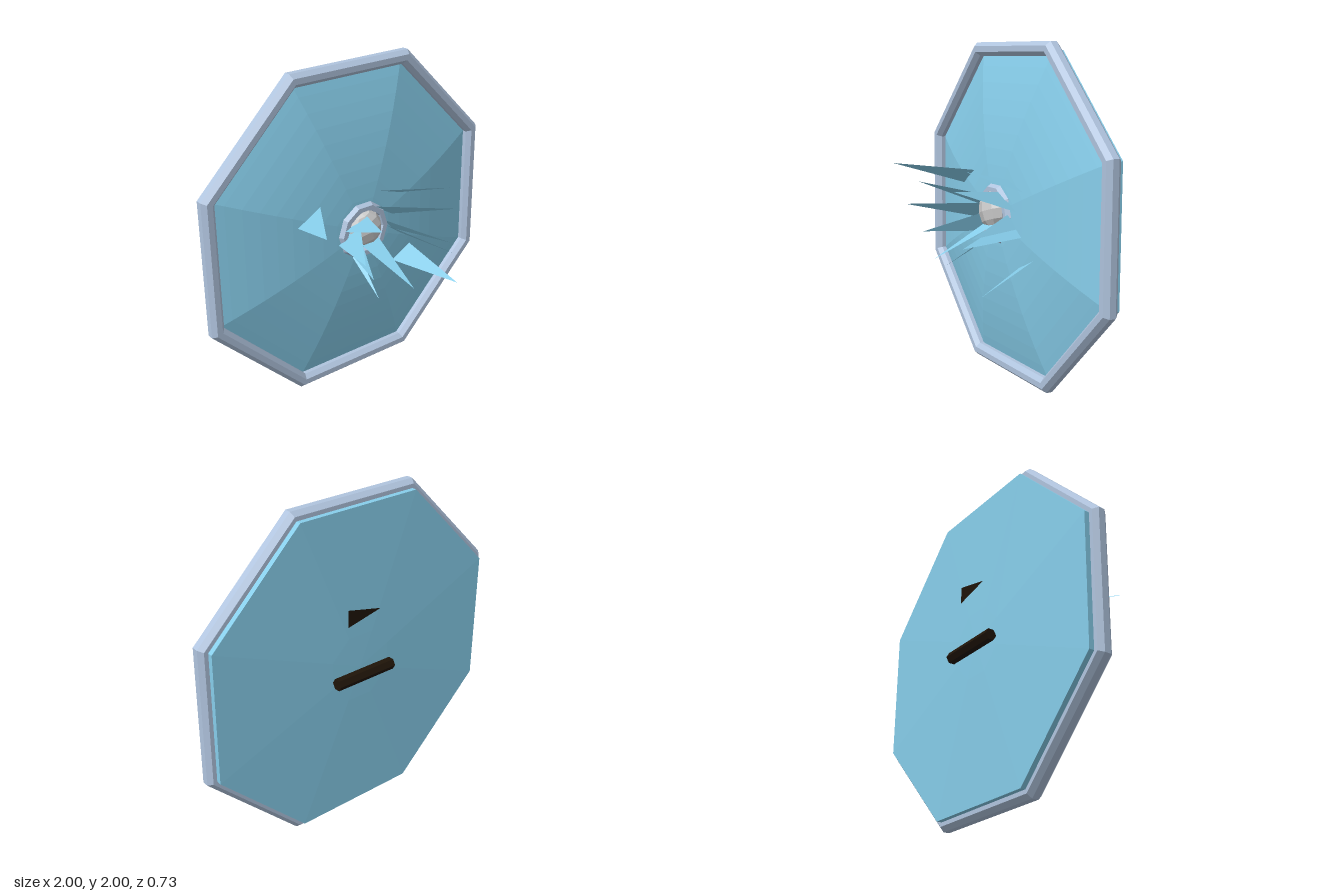
import * as THREE from 'three';

const mat = (color, side = THREE.FrontSide) =>
  new THREE.MeshStandardMaterial({ color, flatShading: true, side });

const EIGHTH = Math.PI / 8;
const K = 1 / Math.cos(EIGHTH); // apothem to corner radius of an octagon

// Height of the domed front face at a distance from the centre
const domeZ = (r) => -0.075 - 0.145 * (r / 0.95) ** 2;

export function createModel() {
  const group = new THREE.Group();
  const sky = mat(0x87ceeb);
  const skyThin = mat(0x87ceeb, THREE.DoubleSide);
  const steel = mat(0xb0c4de);
  const silver = mat(0xdcdcdc);
  const leather = mat(0x1f1408, THREE.DoubleSide);

  const add = (name, geometry, material, x = 0, y = 1, z = 0) => {
    const mesh = new THREE.Mesh(geometry, material);
    mesh.name = name;
    mesh.position.set(x, y, z);
    group.add(mesh);
    return mesh;
  };

  // Octagonal plate: shallow cone behind, straight edge, dome in front
  const profile = [[0, -0.303], [0.2, -0.3], [0.95, -0.28], [0.95, -0.22]];
  for (let i = 9; i >= 0; i--) {
    const a = (0.95 * i) / 10;
    profile.push([a, domeZ(a)]);
  }
  const plate = new THREE.LatheGeometry(
    profile.map(([a, z]) => new THREE.Vector2(a * K, z)), 8, EIGHTH);
  plate.rotateX(Math.PI / 2);
  add('shieldPlate', plate, sky);

  // Octagonal rim with an eight-sided bevelled section
  const rimProfile = [];
  for (let i = 0; i <= 8; i++) {
    const t = EIGHTH + (i * Math.PI) / 4;
    rimProfile.push(new THREE.Vector2((0.957 + 0.044 * Math.cos(t)) * K, -0.203 + 0.05 * Math.sin(t)));
  }
  const rim = new THREE.LatheGeometry(rimProfile, 8, EIGHTH);
  rim.rotateX(Math.PI / 2);
  add('rim', rim, steel);

  // Centre boss and the ring around it
  add('bossRing', new THREE.TorusGeometry(0.148, 0.032, 6, 10), steel, 0, 1, -0.08);
  const boss = add('boss', new THREE.SphereGeometry(0.115, 8, 6), silver, 0, 1.02, -0.06);
  boss.scale.z = 0.62;
  boss.rotation.z = 0.3;

  // Thin ice shards: tip (x, y, z), then two root points (x, y) on the dome
  const shards = [
    [-0.56, 1.265, 0.33, -0.295, 1.225, -0.445, 1.13],
    [0.34, 1.305, 0.295, 0.13, 1.215, 0.29, 1.16],
    [0.325, 1.2, 0.36, 0.06, 1.135, 0.225, 1.04],
    [-0.19, 1.195, 0.33, 0.01, 1.1, -0.15, 1.03],
    [-0.325, 1.045, 0.355, -0.03, 1.06, -0.18, 0.95],
    [-0.215, 0.89, 0.29, -0.045, 1.015, -0.1, 0.88],
    [-0.105, 0.69, 0.2, -0.08, 0.84, -0.04, 0.87],
    [0.035, 0.775, 0.345, -0.065, 0.955, 0.08, 0.97],
    [0.37, 0.94, 0.28, 0.155, 1.02, 0.23, 0.94],
    [0.36, 0.89, 0.33, 0.16, 0.99, 0.28, 0.9],
    [0.455, 0.635, 0.27, 0.24, 0.715, 0.385, 0.785],
  ];
  const triangle = (points) => {
    const g = new THREE.BufferGeometry();
    g.setAttribute('position', new THREE.Float32BufferAttribute(points.flat(), 3));
    g.computeVertexNormals();
    return g;
  };
  shards.forEach(([tx, ty, tz, ax, ay, bx, by], i) => {
    const root = (x, y) => [x, y, domeZ(Math.hypot(x, y - 1))];
    add(`iceShard${i + 1}`, triangle([[tx, ty, tz], root(ax, ay), root(bx, by)]), skyThin, 0, 0, 0);
  });

  // Grip bar and strap tab on the back
  const grip = new THREE.CylinderGeometry(0.036, 0.036, 0.4, 6);
  grip.rotateZ(Math.PI / 2);
  add('grip', grip, leather, 0, 0.965, -0.338);
  add('strapTab', triangle([[0.12, 1.4, -0.335], [0.12, 1.295, -0.335], [-0.11, 1.345, -0.335]]),
    leather, 0, 0, 0);

  return group;
}
